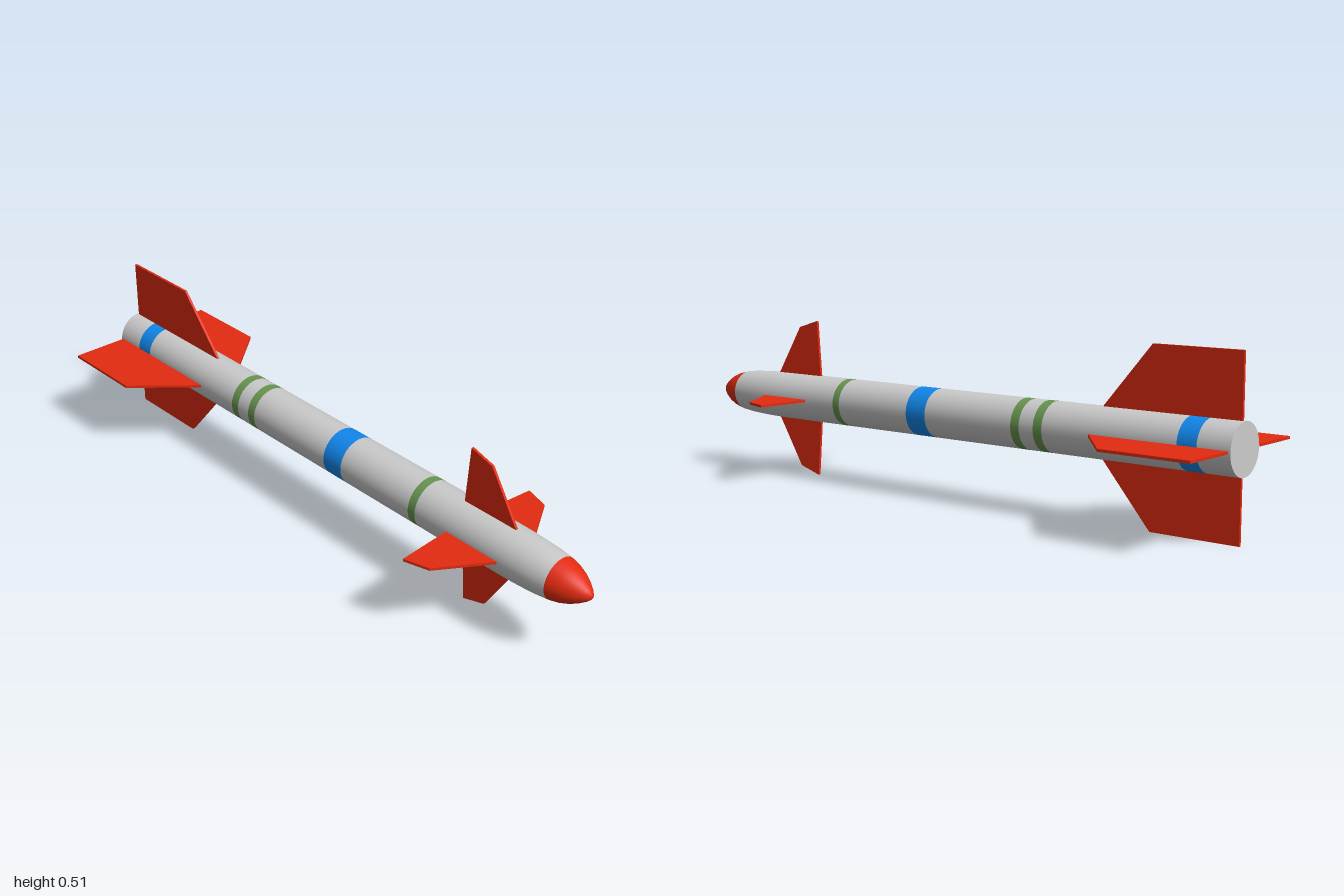
import * as THREE from 'three';

const AXIS_Y = 0.257, R = 0.0745, SIDES = 32;
const paint = (color) => new THREE.MeshStandardMaterial({ color });
const grey = paint(0xcccccc), red = paint(0xe32b10), blue = paint(0x1188ee), green = paint(0x689650);

export function createModel() {
  const model = new THREE.Group();
  model.name = 'missile';
  const airframe = new THREE.Group();
  airframe.name = 'airframe';
  airframe.position.y = AXIS_Y;
  model.add(airframe);

  const add = (name, geometry, material) => {
    const mesh = new THREE.Mesh(geometry, material);
    mesh.name = name;
    airframe.add(mesh);
    return mesh;
  };

  // Surface of revolution along z; profile is [radius, z] from back to front
  const turned = (name, profile, material) => {
    const points = profile.map(([r, z]) => new THREE.Vector2(r, z));
    return add(name, new THREE.LatheGeometry(points, SIDES).rotateX(Math.PI / 2), material);
  };

  // Tube sections and painted bands, back to front: [name, end z, material]
  const sections = [
    ['tailSection', -0.9, grey], ['tailBand', -0.84, blue],
    ['rearSection', -0.4, grey], ['rearStripe', -0.37, green],
    ['stripeGap', -0.32, grey], ['middleStripe', -0.29, green],
    ['middleSection', 0.035, grey], ['middleBand', 0.11, blue],
    ['forwardSection', 0.393, grey], ['forwardStripe', 0.42, green],
    ['finSection', 0.7, grey],
  ];
  let start = -1;
  for (const [name, end, material] of sections) {
    turned(name, [[R, start], [R, end]], material);
    start = end;
  }

  // Tapering shoulder, rounded nose and flat tail
  turned('shoulder', [[R, 0.7], [0.0738, 0.75], [0.072, 0.8], [0.069, 0.85], [0.064, 0.89]], grey);
  turned('noseCone', [[0.064, 0.89], [0.057, 0.92], [0.047, 0.945], [0.034, 0.968],
    [0.02, 0.987], [0.009, 0.998], [0, 1]], red);
  add('tailCap', new THREE.CircleGeometry(R, SIDES).rotateY(Math.PI).translate(0, 0, -1), grey);

  // Four flat fins around the axis; outline is [radius, z]
  const finSet = (name, outline, thickness) => {
    const shape = new THREE.Shape(outline.map(([r, z]) => new THREE.Vector2(r, z)));
    const geometry = new THREE.ExtrudeGeometry(shape, { depth: thickness, bevelEnabled: false })
      .translate(0, 0, -thickness / 2).rotateX(Math.PI / 2);
    ['Left', 'Top', 'Right', 'Bottom'].forEach((side, i) => {
      add(name + side, geometry, red).rotation.z = i * Math.PI / 2;
    });
  };
  finSet('tailFin', [[0.06, -0.993], [0.257, -0.993], [0.257, -0.717], [0.0745, -0.56], [0.06, -0.56]], 0.008);
  finSet('frontFin', [[0.06, 0.542], [0.251, 0.557], [0.228, 0.635], [0.0745, 0.732], [0.06, 0.732]], 0.008);

  return model;
}
